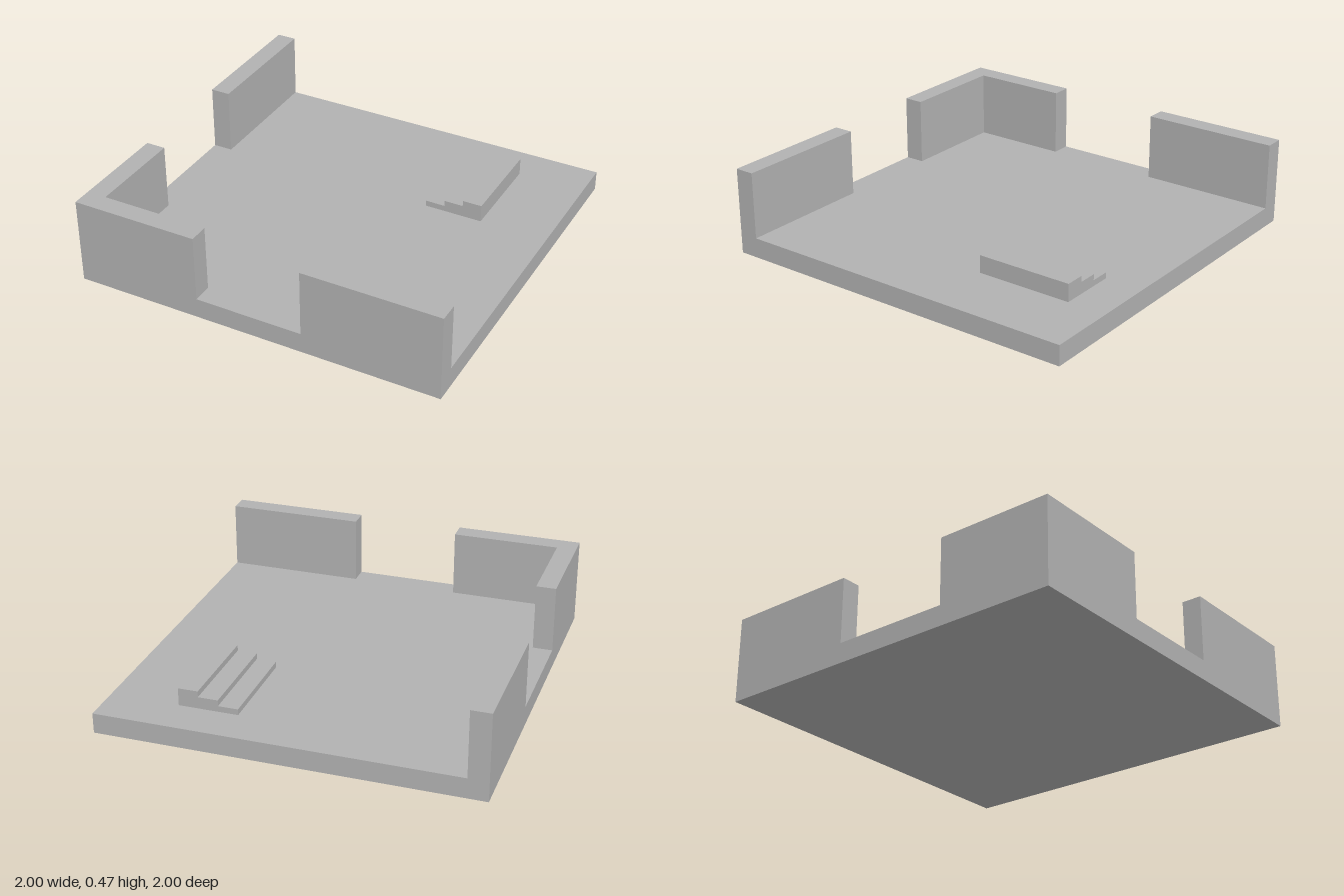
import * as THREE from 'three';

export function createModel() {
  const model = new THREE.Group();
  const stone = new THREE.MeshStandardMaterial({ color: 0xb2b2b2 });
  stone.name = 'grey stone';

  const floorTop = 0.108, wallTop = 0.466, thick = 0.105;

  // Adds a box given by its extents along each axis
  function block(name, [x0, x1], [y0, y1], [z0, z1], parent = model) {
    const mesh = new THREE.Mesh(new THREE.BoxGeometry(x1 - x0, y1 - y0, z1 - z0), stone);
    mesh.position.set((x0 + x1) / 2, (y0 + y1) / 2, (z0 + z1) / 2);
    mesh.name = name;
    parent.add(mesh);
  }

  block('floor', [-1, 1], [0, floorTop], [-1, 1]);

  // Front wall, with a doorway between its two halves
  const wallY = [floorTop, wallTop];
  block('frontWallRight', [-1, -0.318], wallY, [1 - thick, 1]);
  block('frontWallLeft', [0.263, 1], wallY, [1 - thick, 1]);

  // Side wall, with a doorway; its front half meets the front wall
  block('sideWallFront', [-1, -1 + thick], wallY, [0.37, 1 - thick]);
  block('sideWallBack', [-1, -1 + thick], wallY, [-1, -0.266]);

  // Three steps rising towards +x
  const steps = new THREE.Group();
  steps.name = 'steps';
  model.add(steps);
  const tread = 0.1053, rise = 0.0317;
  for (let i = 0; i < 3; i++) {
    const x = 0.316 + i * tread;
    block(`step${i + 1}`, [x, x + tread], [floorTop, floorTop + (i + 1) * rise], [-0.79, -0.266], steps);
  }

  return model;
}
